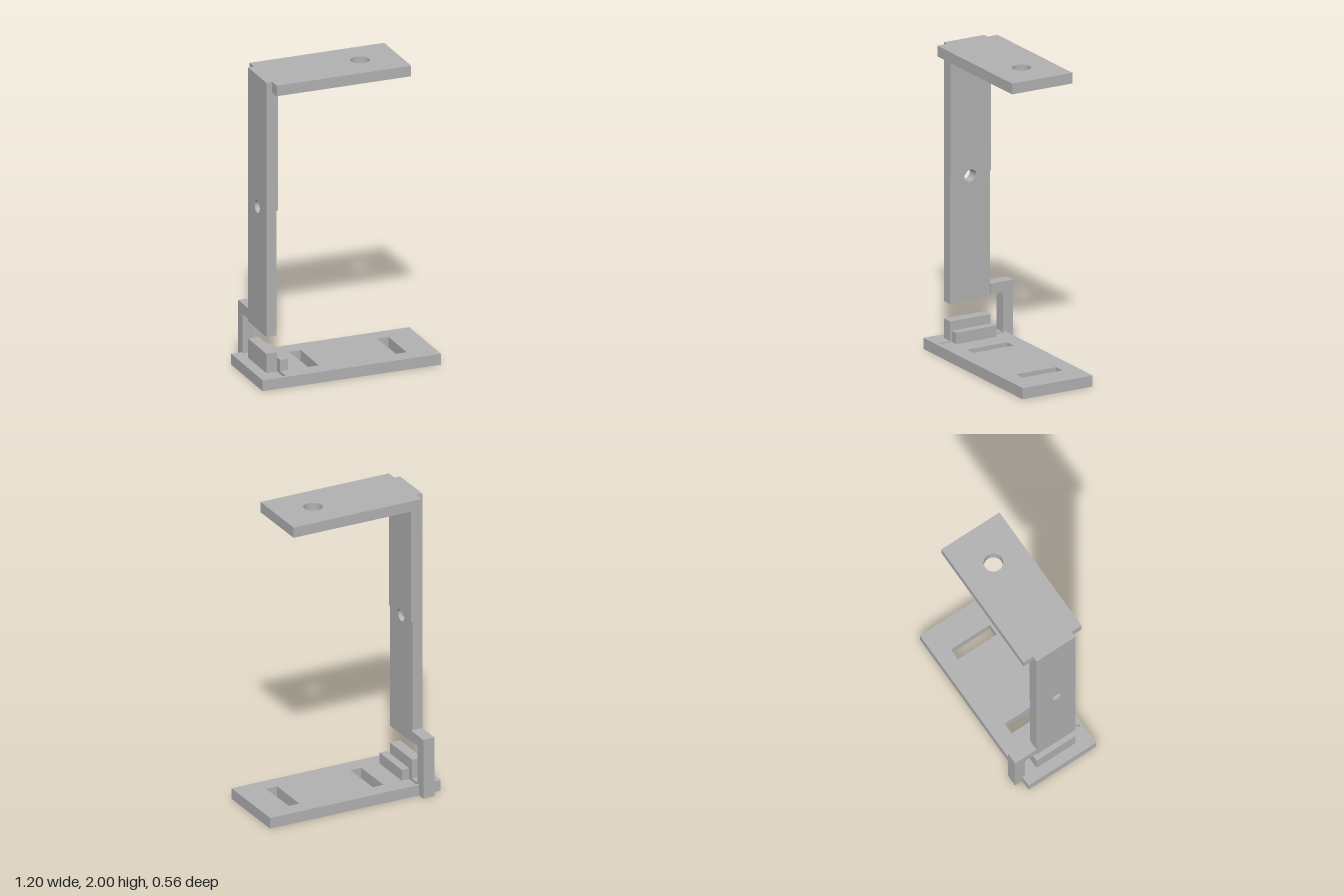
import * as THREE from 'three';

const CZ = 0.027; // shared centre line of all parts in z

// closed path from [a, b] pairs
function outline(points, Type = THREE.Shape) {
  return new Type(points.map(([a, b]) => new THREE.Vector2(a, b)));
}

function rect(x0, x1, y0, y1, Type) {
  return outline([[x0, y0], [x1, y0], [x1, y1], [x0, y1]], Type);
}

function circleHole(x, y, r) {
  const p = new THREE.Path();
  p.absarc(x, y, r, 0, Math.PI * 2, true);
  return p;
}

function extrude(shape, depth) {
  return new THREE.ExtrudeGeometry(shape, { depth, bevelEnabled: false, curveSegments: 32 });
}

// horizontal plate: shape drawn as (x, -z), raised from y0 to y1
function plate(shape, y0, y1) {
  return extrude(shape, y1 - y0).rotateX(-Math.PI / 2).translate(0, y0, 0);
}

// upright slab: shape drawn as (-z, y), running from x0 to x1
function slab(shape, x0, x1) {
  return extrude(shape, x1 - x0).rotateY(Math.PI / 2).translate(x0, 0, 0);
}

export function createModel() {
  const model = new THREE.Group();
  const grey = new THREE.MeshStandardMaterial({ color: 0xb2b2b2 });
  grey.name = 'grey';

  const add = (name, geometry) => {
    const mesh = new THREE.Mesh(geometry, grey);
    mesh.name = name;
    model.add(mesh);
  };
  const addBox = (name, x0, x1, y0, y1, z0, z1) => {
    const g = new THREE.BoxGeometry(x1 - x0, y1 - y0, z1 - z0);
    add(name, g.translate((x0 + x1) / 2, (y0 + y1) / 2, (z0 + z1) / 2));
  };

  // base plate: two through slots, and a shallow groove in the upper layer
  const baseLayer = (grooved) => {
    const s = rect(-0.6, 0.6, -0.28, 0.226);
    for (const x of [-0.255, 0.337]) s.holes.push(rect(x, x + 0.078, -0.172, 0.119, THREE.Path));
    if (grooved) s.holes.push(rect(-0.457, -0.437, -0.26, 0.207, THREE.Path));
    return s;
  };
  add('baseLower', plate(baseLayer(false), 0, 0.04));
  add('baseUpper', plate(baseLayer(true), 0.04, 0.072));

  // stop blocks either side of the groove
  addBox('tallBlock', -0.53, -0.457, 0.07, 0.2, -0.119, 0.172);
  addBox('lowBlock', -0.437, -0.385, 0.07, 0.146, -0.119, 0.172);

  // post with a round hole
  const holeY = 1.127, holeR = 0.041, stepY = 1.14;
  const post = rect(-0.172, 0.119, 0.313, 1.93);
  post.holes.push(circleHole(-CZ, holeY, holeR));
  add('post', slab(post, -0.53, -0.46));

  // thicker upper face of the post, cut by the hole along its lower edge
  const a = Math.asin((stepY - holeY) / holeR);
  const face = new THREE.Shape();
  face.moveTo(-0.172, stepY);
  face.lineTo(-CZ - holeR * Math.cos(a), stepY);
  face.absarc(-CZ, holeY, holeR, Math.PI - a, a, true);
  face.lineTo(0.119, stepY);
  face.lineTo(0.119, 1.93);
  face.lineTo(-0.172, 1.93);
  add('postUpperFace', slab(face, -0.46, -0.45));

  // side arm joining the post to the base
  const arm = outline([
    [0.119, 0.33], [0.206, 0.33], [0.206, 0], [0.28, 0], [0.28, 0.4], [0.119, 0.4],
  ]);
  add('sideArm', slab(arm, -0.53, -0.45));

  // top plate with a tongue over the post and a round hole
  const top = outline([
    [-0.53, -0.172], [-0.49, -0.172], [-0.49, -0.245], [0.415, -0.245],
    [0.415, 0.19], [-0.49, 0.19], [-0.49, 0.119], [-0.53, 0.119],
  ]);
  top.holes.push(circleHole(0.162, -CZ, 0.06));
  add('topPlate', plate(top, 1.93, 2));

  return model;
}
